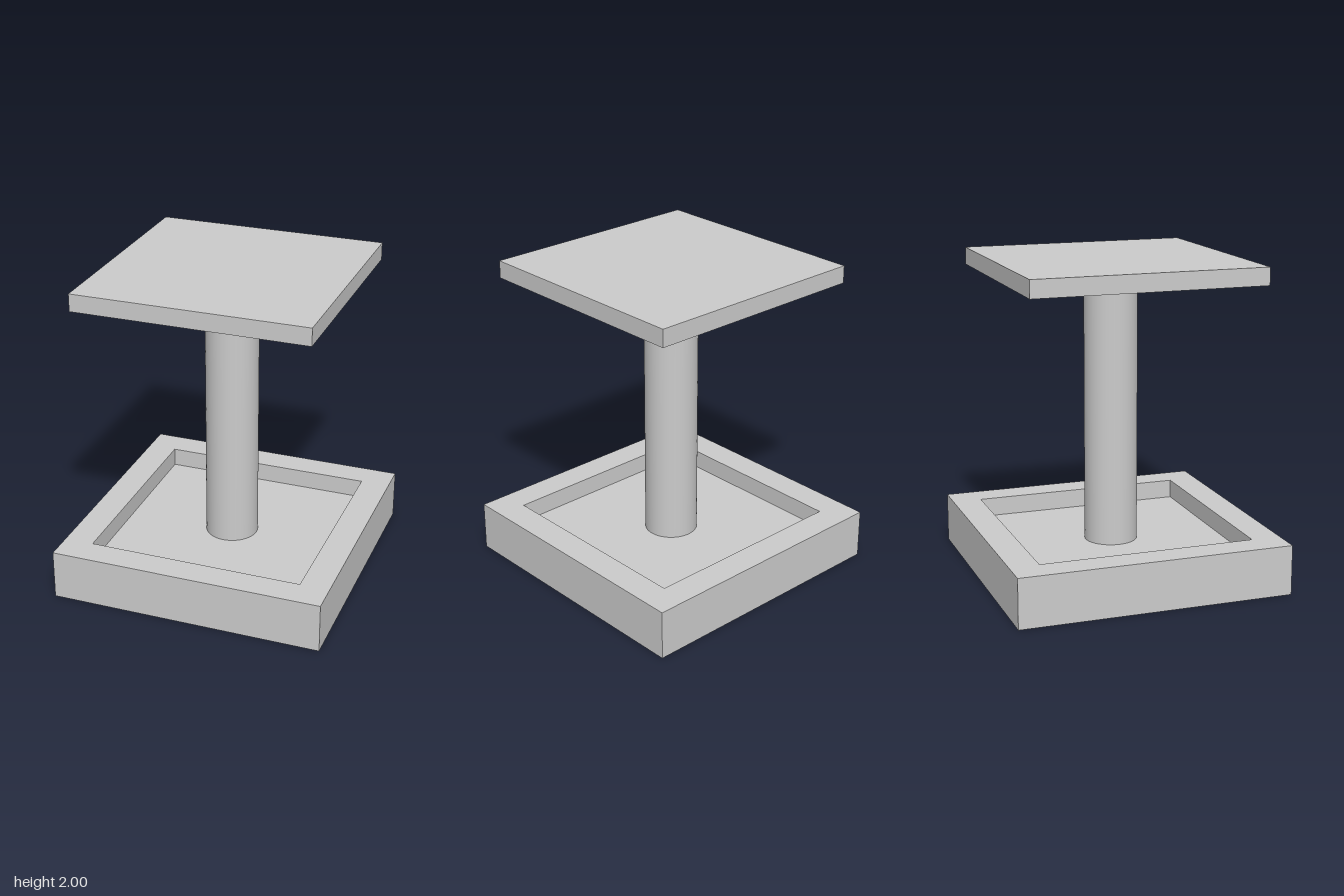
import * as THREE from 'three';

const BASE = 1.73, BASE_H = 0.315, RECESS = 1.36, FLOOR_Y = 0.195;
const PLATE = 1.465, PLATE_Y = 1.89, TOP = 2, RADIUS = 0.167;

function add(group, name, geometry, y) {
  const mesh = new THREE.Mesh(geometry, new THREE.MeshStandardMaterial({ color: 0xcccccc }));
  mesh.name = name;
  mesh.position.y = y;
  group.add(mesh);
}

// Traces a centred square on a shape or a hole path
function square(path, size) {
  const h = size / 2;
  return path.moveTo(-h, -h).lineTo(h, -h).lineTo(h, h).lineTo(-h, h).closePath();
}

export function createModel() {
  const model = new THREE.Group();
  model.name = 'pedestalStand';

  // Solid lower part of the tray-shaped base
  add(model, 'baseFloor', new THREE.BoxGeometry(BASE, FLOOR_Y, BASE), FLOOR_Y / 2);

  // Raised rim around the square recess
  const rim = square(new THREE.Shape(), BASE);
  rim.holes.push(square(new THREE.Path(), RECESS));
  const rimGeometry = new THREE.ExtrudeGeometry(rim, { depth: BASE_H - FLOOR_Y, bevelEnabled: false });
  rimGeometry.rotateX(-Math.PI / 2);
  add(model, 'baseRim', rimGeometry, FLOOR_Y);

  // Round post from the recess floor to the plate
  const postH = PLATE_Y - FLOOR_Y;
  add(model, 'post', new THREE.CylinderGeometry(RADIUS, RADIUS, postH, 64), FLOOR_Y + postH / 2);

  // Square top plate
  add(model, 'topPlate', new THREE.BoxGeometry(PLATE, TOP - PLATE_Y, PLATE), (TOP + PLATE_Y) / 2);

  return model;
}
